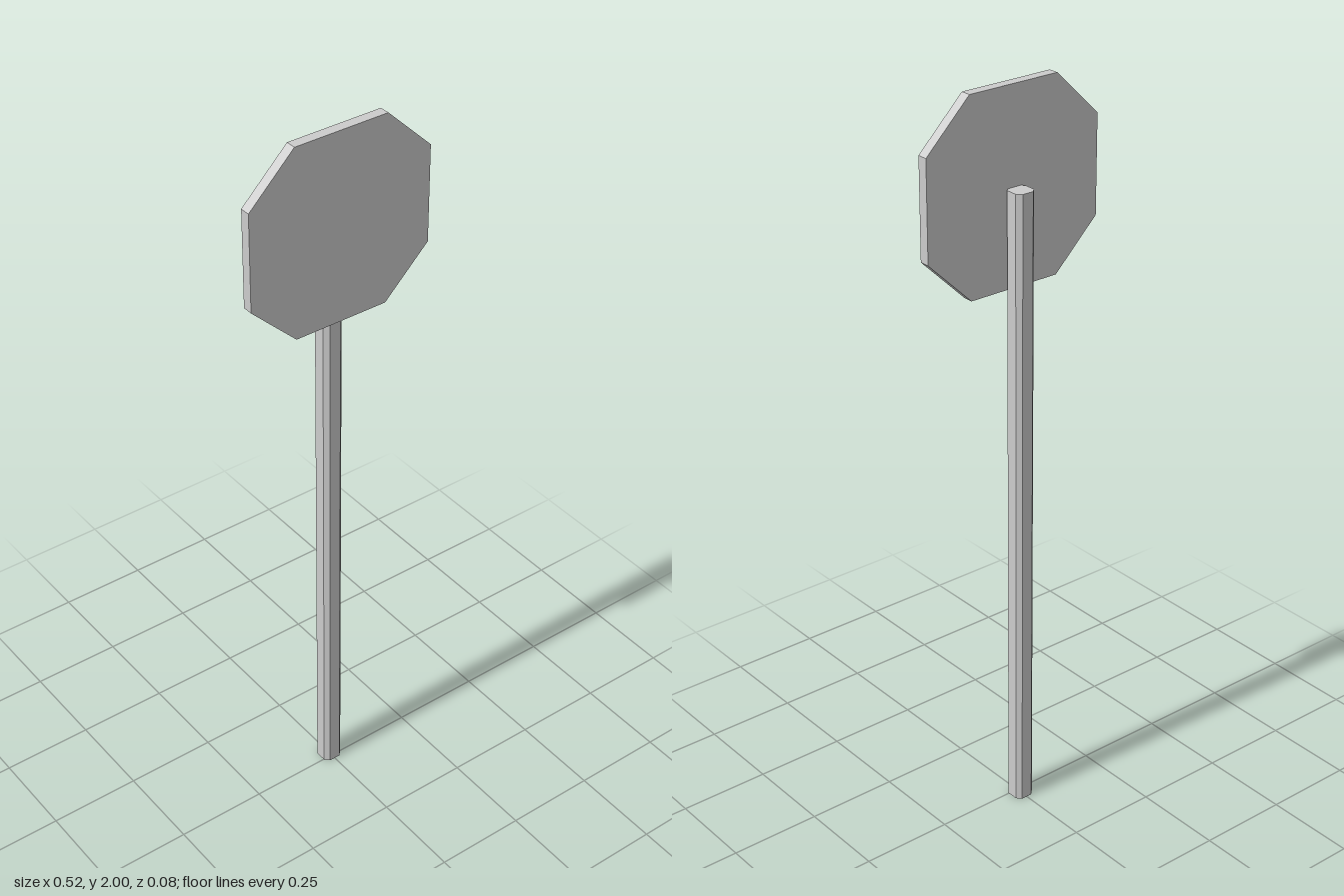
import * as THREE from 'three';

// Prism with an eight-sided outline: a rectangle with its corners cut off
function cutCornerPrism(halfW, halfH, cutX, cutY, depth) {
  const x = halfW - cutX, y = halfH - cutY;
  const outline = [
    [x, -halfH], [halfW, -y], [halfW, y], [x, halfH],
    [-x, halfH], [-halfW, y], [-halfW, -y], [-x, -halfH],
  ].map(([px, py]) => new THREE.Vector2(px, py));
  return new THREE.ExtrudeGeometry(new THREE.Shape(outline), { depth, bevelEnabled: false });
}

export function createModel() {
  const model = new THREE.Group();
  model.name = 'roadSign';
  const material = new THREE.MeshStandardMaterial({ color: 0xcccccc, flatShading: true });

  // Octagonal plate, in front of the post
  const plate = new THREE.Mesh(cutCornerPrism(0.26, 0.257, 0.128, 0.125, 0.028), material);
  plate.name = 'signPlate';
  plate.position.set(0, 1.743, 0.01);
  model.add(plate);

  // Upright post with chamfered edges, ending behind the middle of the plate
  const postGeometry = cutCornerPrism(0.028, 0.028, 0.012, 0.012, 1.745);
  postGeometry.rotateX(-Math.PI / 2);
  const post = new THREE.Mesh(postGeometry, material);
  post.name = 'post';
  post.position.z = -0.014;
  model.add(post);

  return model;
}
